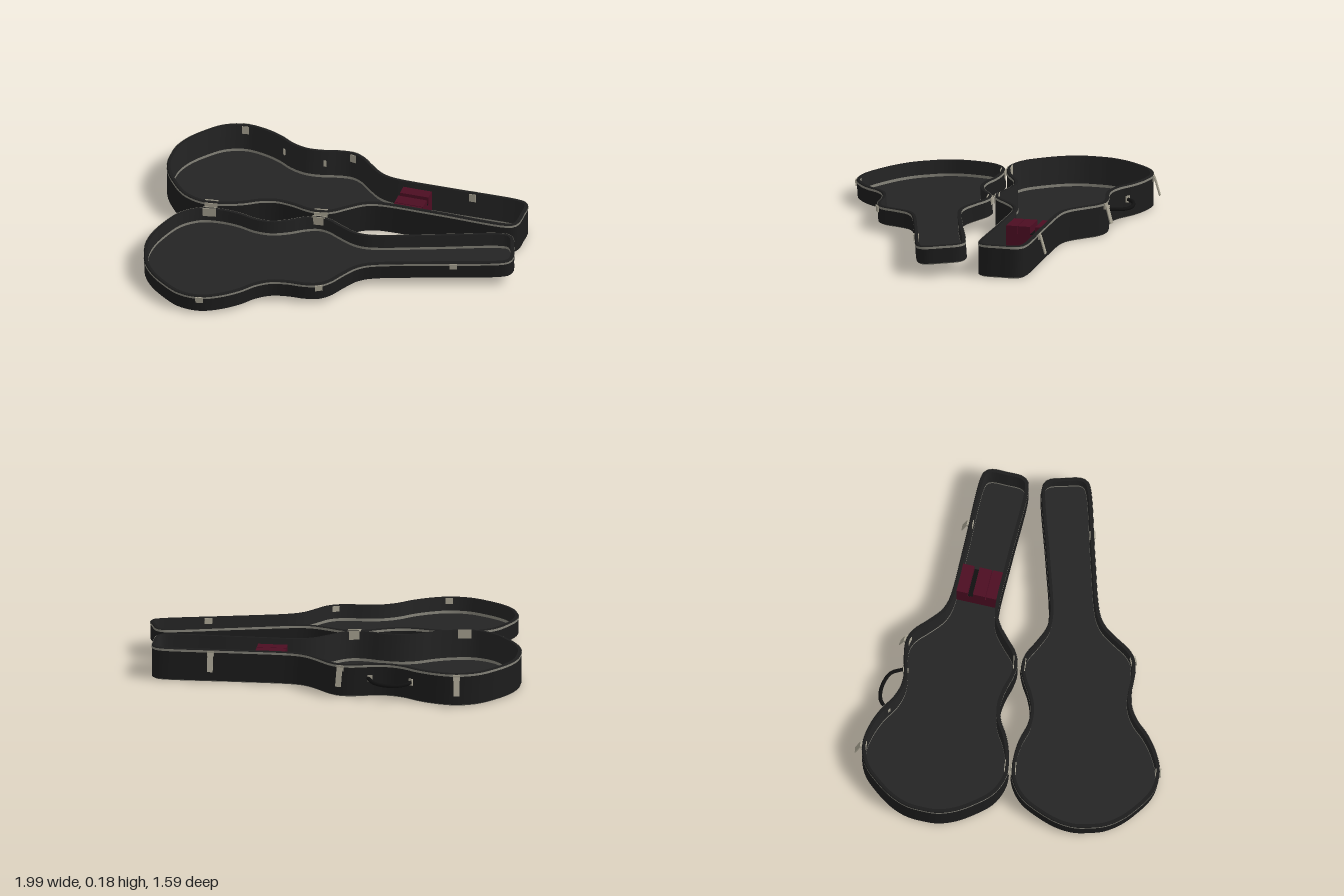
import * as THREE from 'three';

const mat = (name, color, side = THREE.FrontSide) => {
  const m = new THREE.MeshStandardMaterial({ color, side });
  m.name = name;
  return m;
};
const M = {
  shell: mat('black shell', 0x1c1c1c),
  lining: mat('charcoal lining', 0x242424),
  trim: mat('grey piping', 0x848278, THREE.DoubleSide),
  metal: mat('latch metal', 0xa39e8e),
  velvet: mat('wine velvet', 0x4c0d22),
  dark: mat('handle black', 0x101010),
};

// Half outline: distance along the case, half width
const HALF = [[0.005, 0.08], [0.035, 0.165], [0.09, 0.25], [0.18, 0.345], [0.29, 0.386], [0.4, 0.373],
  [0.5, 0.335], [0.58, 0.287], [0.66, 0.264], [0.75, 0.272], [0.83, 0.293], [0.91, 0.297], [0.97, 0.27],
  [1.03, 0.215], [1.1, 0.157], [1.15, 0.136], [1.22, 0.127], [1.5, 0.127], [1.87, 0.127], [1.905, 0.113], [1.923, 0.08]];
const outline = new THREE.CatmullRomCurve3([
  new THREE.Vector3(0, 0, 0),
  ...HALF.map(([s, w]) => new THREE.Vector3(s, 0, w)),
  new THREE.Vector3(1.925, 0, 0),
  ...HALF.slice().reverse().map(([s, w]) => new THREE.Vector3(s, 0, -w)),
], true, 'centripetal');
const N = 180;
const RING = Array.from({ length: N }, (_, i) => {
  const p = outline.getPointAt(i / N), t = outline.getTangentAt(i / N);
  return { x: p.x, z: p.z, nx: -t.z, nz: t.x };
});

function add(parent, name, geometry, material, x = 0, y = 0, z = 0) {
  const mesh = new THREE.Mesh(geometry, material);
  mesh.name = name;
  mesh.position.set(x, y, z);
  parent.add(mesh);
  return mesh;
}

// Sweep a profile of [inset, height] around the outline, sharp between steps
function sweep(profile) {
  const pos = [], index = [];
  for (let k = 0; k + 1 < profile.length; k++) {
    const base = pos.length / 3;
    for (const r of RING) {
      for (const [inset, y] of [profile[k], profile[k + 1]]) {
        pos.push(r.x - r.nx * inset, y, r.z - r.nz * inset);
      }
    }
    for (let i = 0; i < N; i++) {
      const a = base + 2 * i, b = base + 2 * ((i + 1) % N);
      index.push(a, b, b + 1, a, b + 1, a + 1);
    }
  }
  const g = new THREE.BufferGeometry();
  g.setAttribute('position', new THREE.Float32BufferAttribute(pos, 3));
  g.setIndex(index);
  g.computeVertexNormals();
  return g;
}

// Flat sheet filling the outline, facing up (1) or down (-1)
function sheet(inset, facing) {
  const pts = RING.map(r => new THREE.Vector2(r.x - r.nx * inset, -facing * (r.z - r.nz * inset)));
  return new THREE.ShapeGeometry(new THREE.Shape(pts)).rotateX(-facing * Math.PI / 2);
}

const WALL = 0.018, FLOOR = 0.014;
function tray(name, h) {
  const g = new THREE.Group();
  g.name = name;
  add(g, 'outerWall', sweep([[0, 0.007], [0, h - 0.004], [0.004, h], [WALL, h]]), M.shell);
  add(g, 'innerWall', sweep([[WALL, h], [WALL, FLOOR]]), M.lining);
  add(g, 'floorLining', sheet(WALL, 1), M.lining, 0, FLOOR, 0);
  add(g, 'bottom', sheet(0.011, -1), M.shell);
  add(g, 'bottomPiping', sweep([[0.011, 0], [0, 0.007]]), M.trim);
  add(g, 'rimPiping', sweep([[-0.002, h - 0.015], [-0.002, h - 0.003]]), M.trim);
  add(g, 'floorPiping', sweep([[WALL + 0.002, FLOOR + 0.015], [WALL + 0.002, FLOOR]]), M.trim);
  return g;
}

// Group on the wall at distance s, its +z pointing outward
function mount(parent, name, s, side, y) {
  let best = RING[0], d = Infinity;
  for (const r of RING) {
    if (r.z * side > 0 && Math.abs(r.x - s) < d) { best = r; d = Math.abs(r.x - s); }
  }
  const g = new THREE.Group();
  g.name = name;
  g.position.set(best.x, y, best.z);
  g.rotation.y = Math.atan2(best.nx, best.nz);
  parent.add(g);
  return g;
}
const box = (w, h, d) => new THREE.BoxGeometry(w, h, d);

const LATCHES = [0.28, 0.91, 1.62], HINGES = [0.35, 0.9];

export function createModel() {
  const model = new THREE.Group();
  model.name = 'openInstrumentCase';

  // Deep base at the back
  const H = 0.175;
  const base = tray('base', H);
  base.position.set(-1, 0, -0.375);
  model.add(base);

  // Latches hanging open on the back wall
  for (const s of LATCHES) {
    const g = mount(base, 'latch', s, -1, H - 0.015);
    add(g, 'latchMount', box(0.036, 0.03, 0.008), M.metal, 0, -0.005, 0.003);
    add(g, 'latchInnerPlate', box(0.036, 0.045, 0.004), M.metal, 0, -0.015, -WALL - 0.002);
    const lever = add(g, 'latchLever', box(0.03, 0.1, 0.006).translate(0, -0.05, 0), M.metal, 0, 0, 0.008);
    lever.rotation.x = -0.28;
  }

  // Carrying handle with its bolts
  const grip = new THREE.CatmullRomCurve3([[0.53, 0.1, -0.305], [0.56, 0.095, -0.347], [0.61, 0.09, -0.366],
    [0.68, 0.09, -0.361], [0.73, 0.095, -0.337], [0.765, 0.1, -0.275]].map(p => new THREE.Vector3(...p)));
  add(base, 'handle', new THREE.TubeGeometry(grip, 30, 0.01, 8), M.dark);
  for (const s of [0.53, 0.765]) {
    const g = mount(base, 'handleBolt', s, -1, 0.1);
    add(g, 'boltOuter', box(0.025, 0.035, 0.008), M.metal, 0, 0, 0.003);
    add(g, 'boltInner', box(0.015, 0.035, 0.004), M.metal, 0, 0, -WALL - 0.002);
  }

  // Velvet accessory box in the neck
  const chest = new THREE.Group();
  chest.name = 'accessoryBox';
  chest.position.set(1.312, 0, 0);
  base.add(chest);
  add(chest, 'boxBody', box(0.155, 0.09, 0.216), M.velvet, 0, 0.055, 0);
  for (const [z, d] of [[-0.078, 0.06], [0.013, 0.066], [0.079, 0.058]]) {
    add(chest, 'boxPad', box(0.155, 0.045, d), M.velvet, 0, 0.12, z);
  }
  add(chest, 'boxGap', box(0.153, 0.004, 0.026), M.dark, 0, 0.101, -0.034);

  // Shallow lid lying open in front, leaning toward the base
  const h = 0.1;
  const lid = tray('lid', h);
  lid.position.set(-0.873, 0.026, 0.487);
  lid.rotation.set(0.07, 0.3, 0);
  model.add(lid);

  // Catches on the lid's free edge
  for (const s of LATCHES) {
    const g = mount(lid, 'catch', s, 1, h - 0.02);
    add(g, 'catchPlate', box(0.04, 0.032, 0.008), M.metal, 0, 0, 0.003);
    add(g, 'catchInnerPlate', box(0.04, 0.03, 0.004), M.metal, 0, 0, -WALL - 0.002);
  }

  // Hinge leaves on the facing walls of both halves
  for (const [part, side, height] of [[base, 1, H], [lid, -1, h]]) {
    for (const s of HINGES) {
      const g = mount(part, 'hinge', s, side, height - 0.02);
      add(g, 'hingeInnerLeaf', box(0.07, 0.05, 0.004), M.metal, 0, 0, -WALL - 0.002);
      add(g, 'hingeOuterLeaf', box(0.07, 0.035, 0.004), M.metal, 0, 0, 0.002);
    }
  }
  return model;
}
